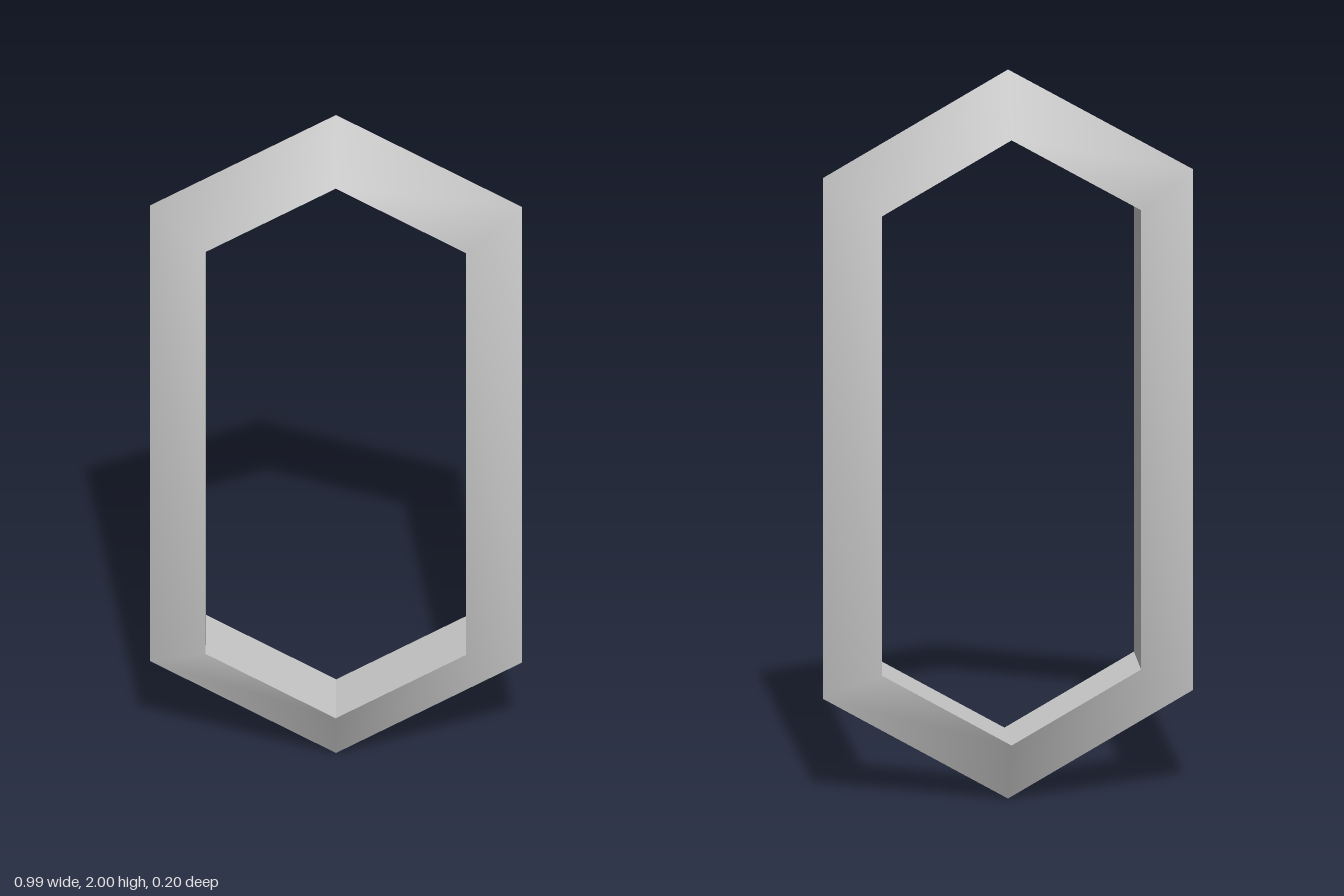
import * as THREE from 'three';

// Elongated hexagon, counter-clockwise from the top point
function hexRing(halfWidth, shoulder, tip, z) {
  return [
    [0, 1 + tip, z], [-halfWidth, 1 + shoulder, z], [-halfWidth, 1 - shoulder, z],
    [0, 1 - tip, z], [halfWidth, 1 - shoulder, z], [halfWidth, 1 + shoulder, z],
  ];
}

// Closed band of quads between two rings, smooth along the ring or faceted
function band(a, b, faceted) {
  const n = a.length;
  const index = [];
  for (let i = 0; i < n; i++) {
    const j = (i + 1) % n;
    index.push(i, j, n + j, i, n + j, n + i);
  }
  let geometry = new THREE.BufferGeometry();
  geometry.setAttribute('position', new THREE.Float32BufferAttribute([...a, ...b].flat(), 3));
  geometry.setIndex(index);
  if (faceted) geometry = geometry.toNonIndexed();
  geometry.computeVertexNormals();
  return geometry;
}

export function createModel() {
  const group = new THREE.Group();
  group.name = 'hexagonalFrame';
  const metal = new THREE.MeshStandardMaterial({ color: 0xcccccc });
  metal.name = 'light grey';

  // The frame has a triangular section: one outer ridge and two inner edges
  const ridge = hexRing(0.495, 0.714, 1, 0);
  const innerFront = hexRing(0.346, 0.63, 0.83, 0.098);
  const innerBack = hexRing(0.346, 0.63, 0.83, -0.098);

  const add = (name, geometry) => {
    const mesh = new THREE.Mesh(geometry, metal);
    mesh.name = name;
    group.add(mesh);
  };
  add('frontBevel', band(ridge, innerFront, false));
  add('innerWall', band(innerFront, innerBack, true));
  add('backBevel', band(innerBack, ridge, false));
  return group;
}
